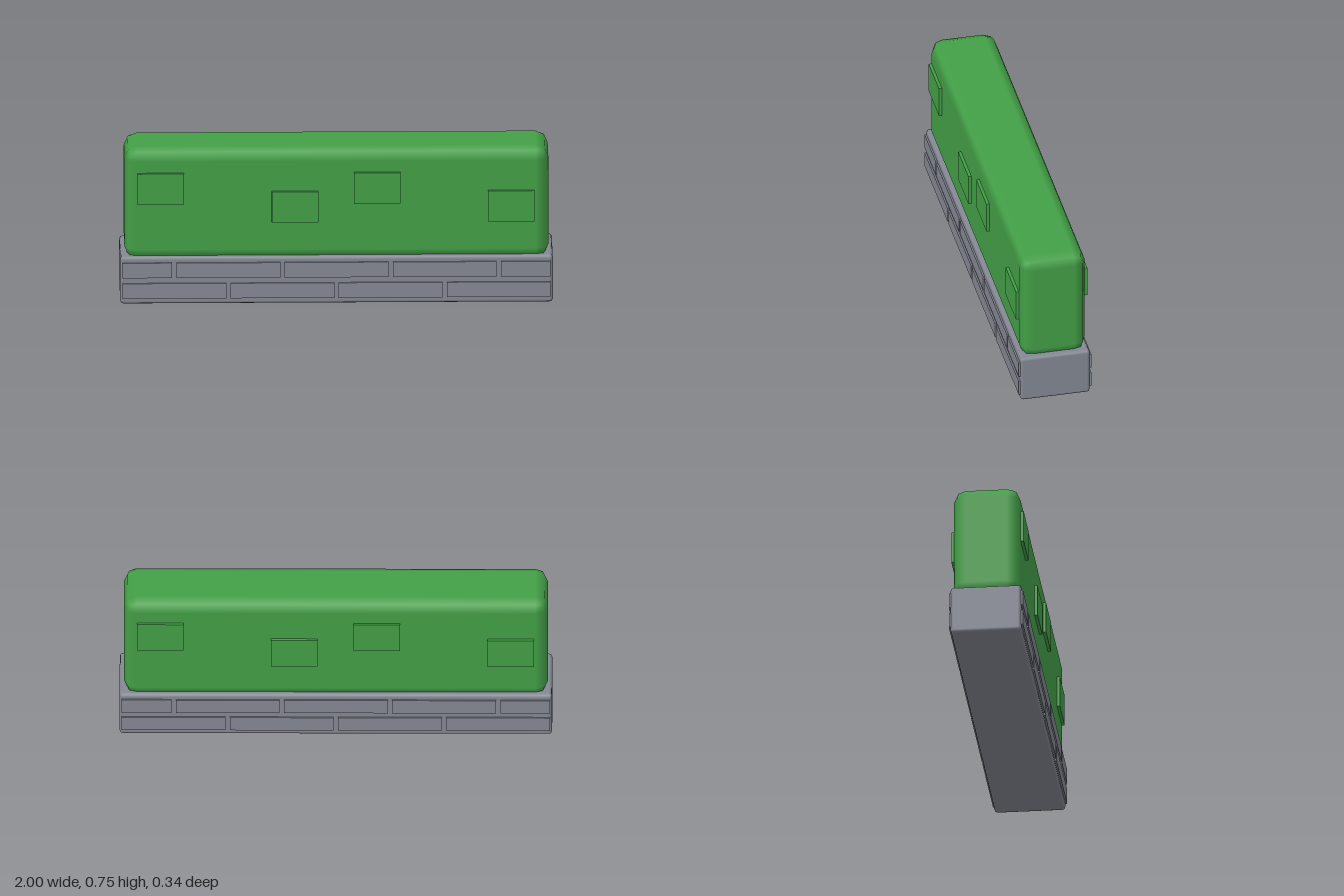
import * as THREE from 'three';
import { RoundedBoxGeometry } from 'three/addons/geometries/RoundedBoxGeometry.js';

const leafGreen = new THREE.MeshStandardMaterial({ name: 'leafGreen', color: 0x43a047 });
const stoneGrey = new THREE.MeshStandardMaterial({ name: 'stoneGrey', color: 0x858994 });

function add(parent, name, geometry, material, x, y, z) {
  const mesh = new THREE.Mesh(geometry, material);
  mesh.name = name;
  mesh.position.set(x, y, z);
  parent.add(mesh);
  return mesh;
}

// Bricks and leaf patches of one long side, facing +z
function createSide(name) {
  const side = new THREE.Group();
  side.name = name;

  // Lower course: four full bricks
  const full = new THREE.BoxGeometry(0.48, 0.073, 0.02);
  const half = new THREE.BoxGeometry(0.23, 0.073, 0.02);
  const brickZ = 0.1625;
  for (let i = 0; i < 4; i++) {
    add(side, 'lowerBrick', full, stoneGrey, -0.75 + i * 0.5, 0.0665, brickZ);
  }

  // Upper course: three full bricks between two halves
  for (let i = -1; i <= 1; i++) {
    add(side, 'upperBrick', full, stoneGrey, i * 0.5, 0.1665, brickZ);
  }
  for (const s of [-1, 1]) {
    add(side, 'halfBrick', half, stoneGrey, s * 0.875, 0.1665, brickZ);
  }

  // Raised leaf patches, alternating high and low
  const patch = new THREE.BoxGeometry(0.215, 0.15, 0.03);
  [-0.813, -0.192, 0.188, 0.808].forEach((x, i) => {
    add(side, 'leafPatch', patch, leafGreen, x, i % 2 ? 0.472 : 0.562, 0.1535);
  });
  return side;
}

export function createModel() {
  const model = new THREE.Group();
  model.name = 'hedgeOnWall';

  // Stone wall core with narrow bevels
  add(model, 'wallBase', new RoundedBoxGeometry(2, 0.23, 0.33, 1, 0.015), stoneGrey, 0, 0.115, 0);

  // Clipped hedge, sunk a little into the wall
  add(model, 'hedge', new RoundedBoxGeometry(1.96, 0.546, 0.309, 1, 0.058), leafGreen, 0, 0.477, 0);

  // The back is the front turned half way round
  const back = createSide('backSide');
  back.rotation.y = Math.PI;
  model.add(createSide('frontSide'), back);

  return model;
}
